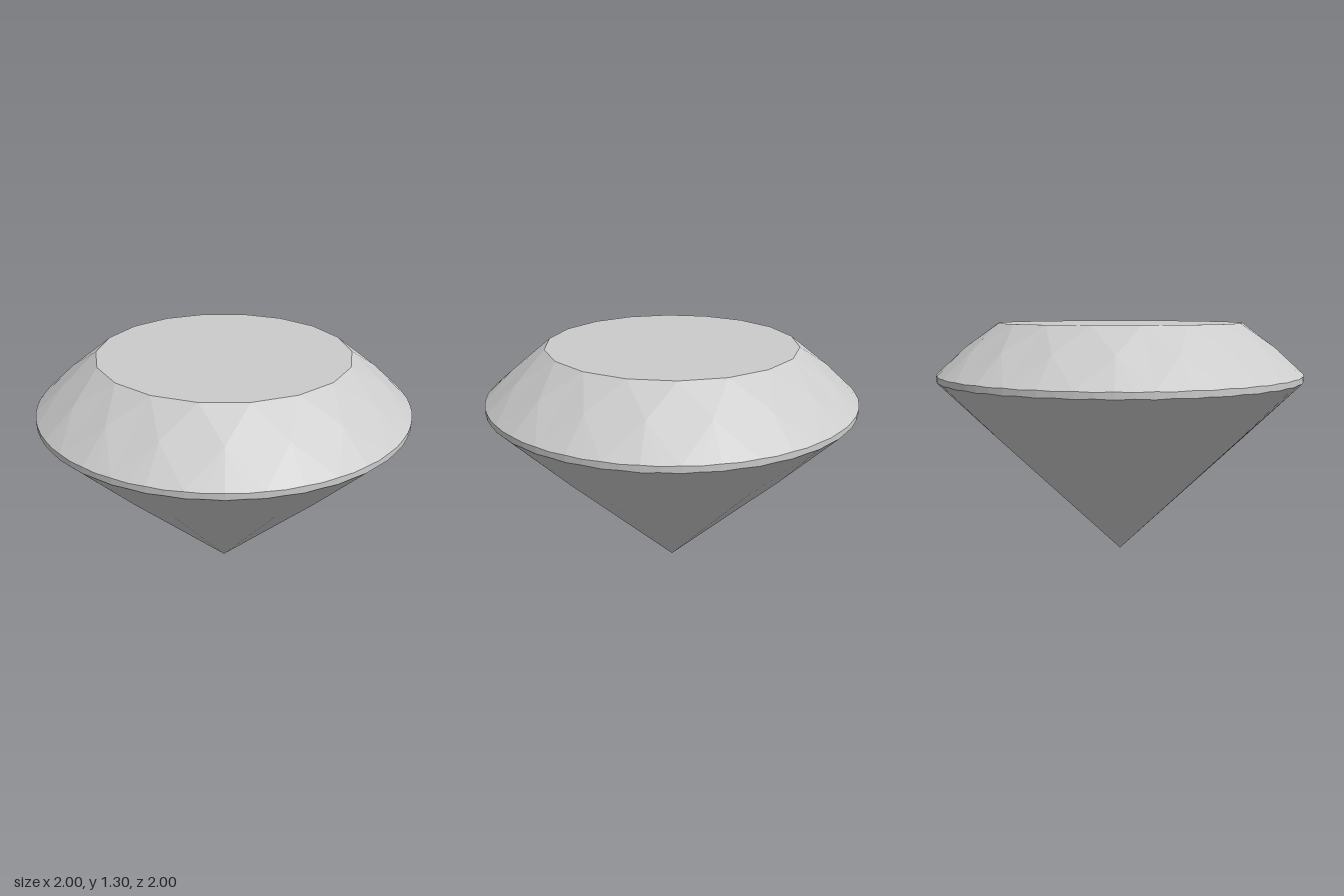
import * as THREE from 'three';

const FOLDS = 18;
const STEP = (Math.PI * 2) / FOLDS;

// Point at radius r, height y, and angle k measured in facet steps
const point = (r, y, k) => [r * Math.cos(k * STEP), y, -r * Math.sin(k * STEP)];

// Flat-faceted mesh from convex polygons, corners anticlockwise seen from outside
function facetMesh(name, polygons) {
  const positions = [];
  for (const p of polygons) {
    for (let i = 1; i < p.length - 1; i++) positions.push(...p[0], ...p[i], ...p[i + 1]);
  }
  const geometry = new THREE.BufferGeometry();
  geometry.setAttribute('position', new THREE.Float32BufferAttribute(positions, 3));
  geometry.computeVertexNormals();
  const material = new THREE.MeshStandardMaterial({ color: 0xcccccc, flatShading: true });
  const mesh = new THREE.Mesh(geometry, material);
  mesh.name = name;
  return mesh;
}

// Ring points of the cut
const table = (k) => point(0.675, 1.305, k);
const star = (k) => point(0.845, 1.176, k);
const lower = (k) => point(0.7, 0.69, k);
const culet = [0, 0, 0];

// The girdle edges are slightly scalloped between the facet corners
const isMid = (k) => Math.abs((k * 2) % 1) > 0.1;
const girdleTop = (k) => point(1, isMid(k) ? 1.032 : 1.035, k);
const girdleBottom = (k) => point(1, isMid(k) ? 1.004 : 1, k);

export function createModel() {
  const tableFace = [];
  const crown = [];
  const girdle = [];
  const pavilion = [];

  for (let k = 0; k < FOLDS; k++) {
    tableFace.push(table(k));

    // Crown: star triangle, bezel kite and two upper girdle facets
    crown.push([table(k), star(k + 0.5), table(k + 1)]);
    crown.push([table(k), star(k - 0.5), girdleTop(k), star(k + 0.5)]);
    for (const a of [k, k + 0.5]) {
      crown.push([star(k + 0.5), girdleTop(a), girdleTop(a + 0.25), girdleTop(a + 0.5)]);
    }

    // Pavilion: main kite and two lower girdle facets
    pavilion.push([culet, lower(k + 0.5), girdleBottom(k), lower(k - 0.5)]);
    for (const a of [k, k + 0.5]) {
      pavilion.push([lower(k + 0.5), girdleBottom(a + 0.5), girdleBottom(a + 0.25), girdleBottom(a)]);
    }

    // Girdle: thin vertical band
    for (let j = 0; j < 4; j++) {
      const a = k + j / 4;
      const b = a + 0.25;
      girdle.push([girdleBottom(a), girdleBottom(b), girdleTop(b), girdleTop(a)]);
    }
  }

  const gem = new THREE.Group();
  gem.name = 'brilliantCutGem';
  gem.add(
    facetMesh('table', [tableFace]),
    facetMesh('crown', crown),
    facetMesh('girdle', girdle),
    facetMesh('pavilion', pavilion)
  );
  return gem;
}
